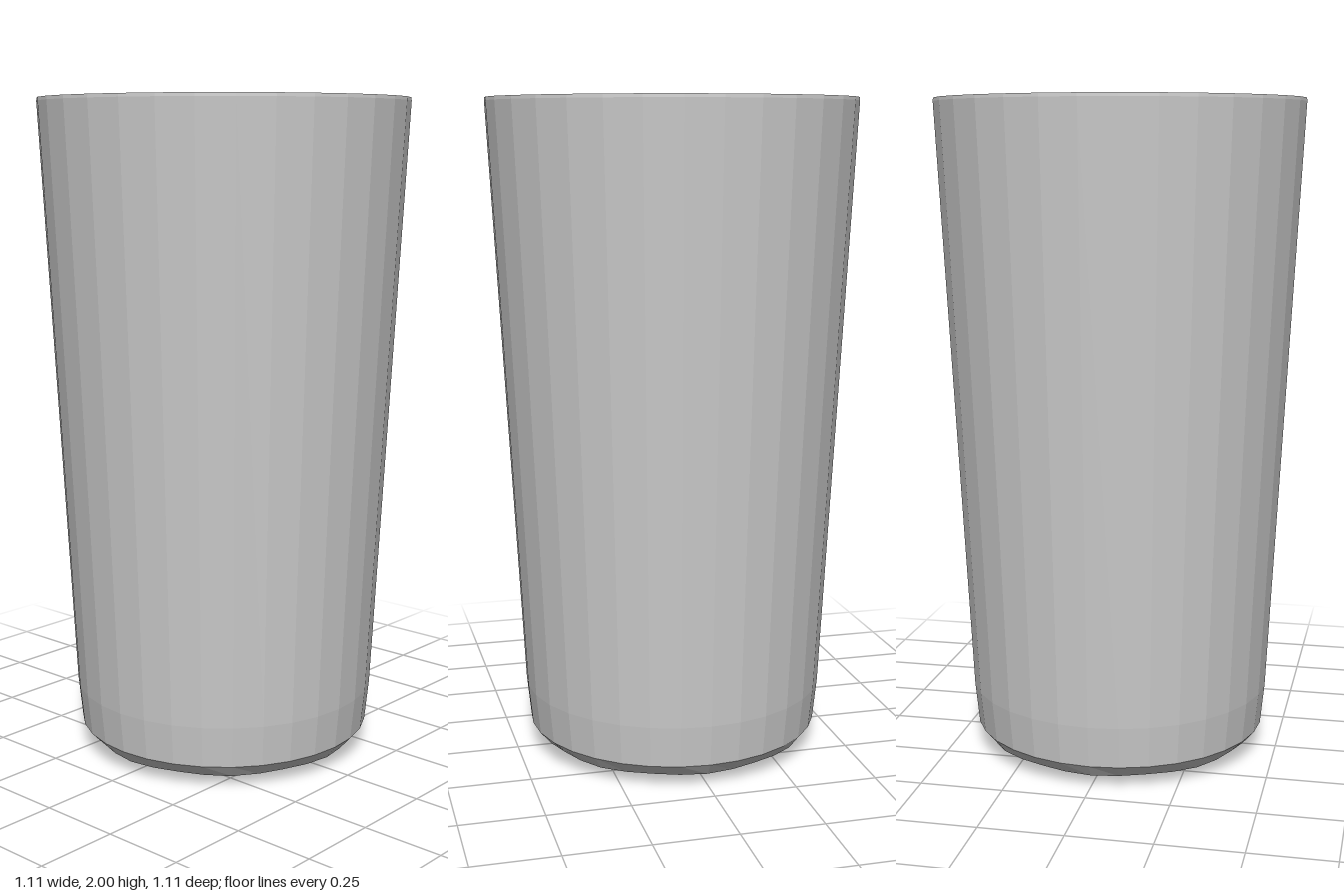
import * as THREE from 'three';

const SIDES = 32;

export function createModel() {
  const group = new THREE.Group();
  group.name = 'tumbler';

  // Closed profile: underside centre, up the outer wall, over the rim, down the inside
  const profile = [
    [0, 0], [0.21, 0.01], [0.42, 0.035], [0.45, 0.075], [0.463, 0.2],
    [0.556, 1.99], [0.555, 2], [0.547, 2], [0.545, 1.99],
    [0.425, 0.2], [0.41, 0.12], [0.4, 0.09], [0.375, 0.06], [0, 0.05],
  ].map(([r, y]) => new THREE.Vector2(r, y));

  const geometry = new THREE.LatheGeometry(profile, SIDES);

  // The two base edges are faintly eight-cornered
  const pos = geometry.attributes.position;
  for (let i = 0; i < pos.count; i++) {
    const ring = i % profile.length;
    if (ring !== 2 && ring !== 12) continue;
    const x = pos.getX(i), z = pos.getZ(i);
    const k = 1 - 0.012 * (1 - Math.cos(8 * Math.atan2(z, x)));
    pos.setX(i, x * k);
    pos.setZ(i, z * k);
  }
  geometry.computeVertexNormals();

  const glass = new THREE.Mesh(
    geometry,
    new THREE.MeshStandardMaterial({ color: 0xcccccc, flatShading: true }),
  );
  glass.name = 'glassBody';
  group.add(glass);
  return group;
}
